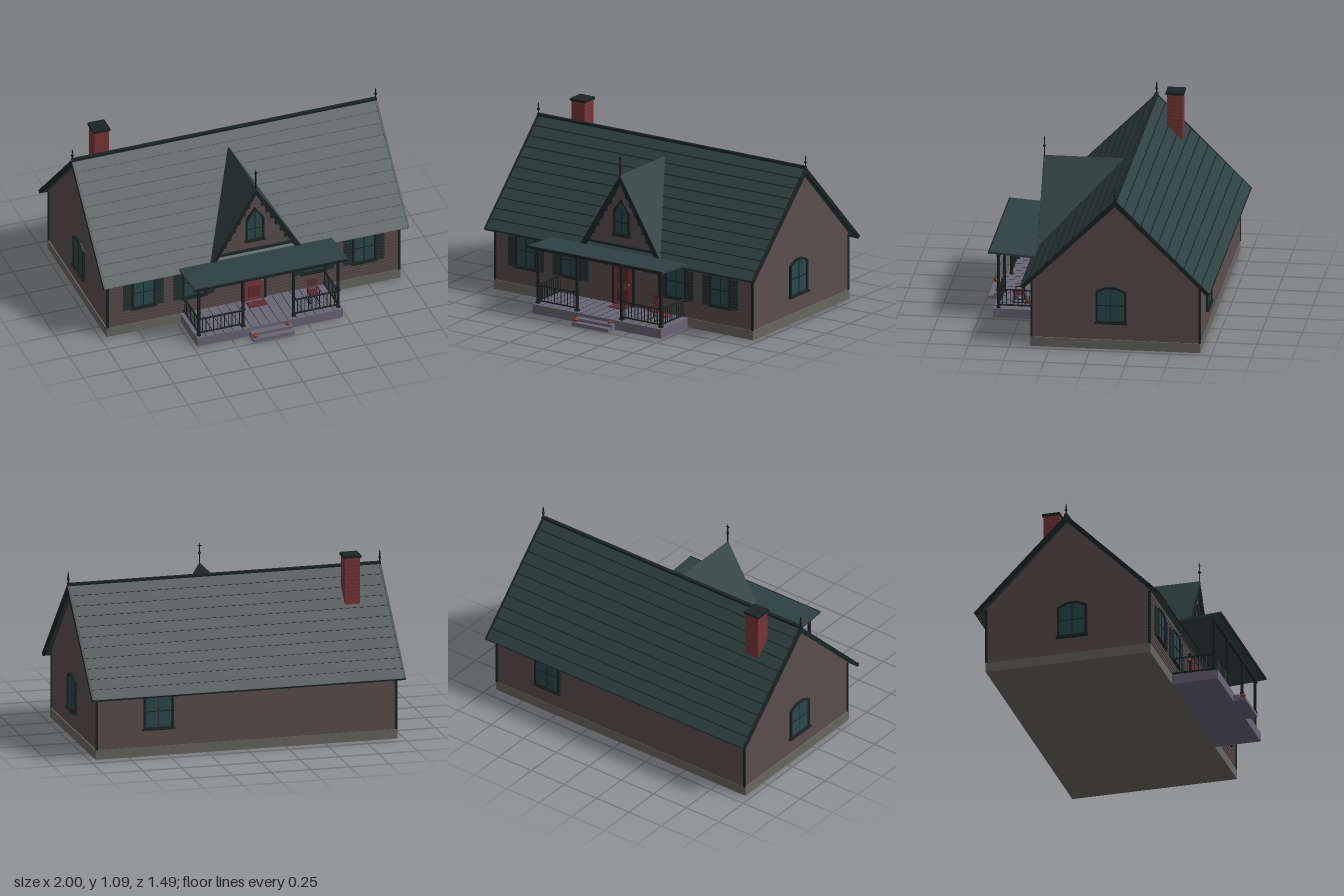
import * as THREE from 'three';

const mat = (color) => new THREE.MeshStandardMaterial({ color });
const M = {
  wall: mat(0x5a4e4e), siding: mat(0x453c3c), roof: mat(0x2f4040), dark: mat(0x1b2424), stone: mat(0x67665f),
  porch: mat(0x696473), brick: mat(0x7a3638), mortar: mat(0x562a2c), glass: mat(0x2c484a), shutter: mat(0x283636),
  door: mat(0x7a3640), iron: mat(0x161616), pumpkin: mat(0x7a3a26), brass: mat(0xa8793c), red: mat(0x5c2a30),
};

export function createModel() {
  const house = new THREE.Group();
  house.name = 'house';

  const add = (name, geo, material, x = 0, y = 0, z = 0, parent = house) => {
    const m = new THREE.Mesh(geo, material);
    m.name = name;
    m.position.set(x, y, z);
    parent.add(m);
    return m;
  };
  const box = (name, w, h, d, material, x, y, z, parent) =>
    add(name, new THREE.BoxGeometry(w, h, d), material, x, y, z, parent);
  const rod = (name, r, h, material, x, y, z, parent) =>
    add(name, new THREE.CylinderGeometry(r, r, h, 8), material, x, y, z, parent);
  const group = (name, x, y, z, ry = 0) => {
    const g = new THREE.Group();
    g.name = name;
    g.position.set(x, y, z);
    g.rotation.y = ry;
    house.add(g);
    return g;
  };
  const shape = (pts) => new THREE.Shape(pts.map(([a, b]) => new THREE.Vector2(a, b)));
  const extrude = (s, depth) => new THREE.ExtrudeGeometry(s, { depth, bevelEnabled: false });
  // Profile drawn in (z, y), extruded along x and centred on it
  const extrudeX = (pts, width) => extrude(shape(pts), width).translate(0, 0, -width / 2).rotateY(-Math.PI / 2);

  // Foundation and walls
  const ridgeZ = -0.155;
  box('foundation', 1.92, 0.06, 1.05, M.stone, 0, 0.03, -0.152);
  add('walls', extrudeX([[-0.675, 0.06], [0.368, 0.06], [0.368, 0.425], [ridgeZ, 0.95], [-0.675, 0.425]], 1.906), M.wall);
  for (let i = 0; i < 16; i++) box('sidingLine', 1.9, 0.003, 0.004, M.siding, 0, 0.08 + i * 0.021, 0.369);
  for (const x of [-0.952, 0.952])
    for (const z of [-0.673, 0.366]) box('cornerBoard', 0.014, 0.36, 0.014, M.dark, x, 0.24, z);

  // Main roof with shingle courses, rake boards and ridge
  const roofProfile = (top, under) => [[0.43, 0.395], [ridgeZ, top], [-0.74, 0.395], [-0.725, 0.38], [ridgeZ, under], [0.415, 0.38]];
  add('mainRoof', extrudeX(roofProfile(0.975, 0.948), 1.985), M.roof);
  for (const x of [-0.99, 0.99]) add('rakeBoard', extrudeX(roofProfile(0.981, 0.94), 0.014), M.dark, x);
  for (const s of [-1, 1])
    for (let i = 1; i <= 11; i++) {
      const t = i / 11;
      const line = box('shingleCourse', 1.984, 0.006, 0.006, M.dark, 0, 0.975 - 0.58 * t, ridgeZ + s * 0.585 * t);
      line.rotation.x = Math.PI / 4;
    }
  box('ridgeCap', 1.99, 0.016, 0.022, M.dark, 0, 0.98, ridgeZ);

  // Finials
  const finial = (x, y, z, h) => {
    const g = group('finial', x, y, z);
    rod('finialStem', 0.004, h, M.iron, 0, h / 2, 0, g);
    add('finialBall', new THREE.SphereGeometry(0.009, 10, 8), M.iron, 0, h * 0.55, 0, g);
    add('finialTip', new THREE.ConeGeometry(0.005, 0.025, 8), M.iron, 0, h, 0, g);
    return g;
  };
  for (const x of [-0.99, 0.99]) finial(x, 0.97, ridgeZ, 0.08);
  const frontFinial = finial(0, 0.895, 0.41, 0.125);
  box('finialCross', 0.022, 0.005, 0.005, M.iron, 0, 0.115, 0, frontFinial);

  // Chimney
  box('chimney', 0.095, 0.36, 0.097, M.brick, -0.763, 0.9, -0.302);
  for (let i = 0; i < 14; i++) box('mortarLine', 0.097, 0.002, 0.099, M.mortar, -0.763, 0.75 + i * 0.023, -0.302);
  box('chimneyCap', 0.11, 0.016, 0.112, M.dark, -0.763, 1.082, -0.302);

  // Front gable running back into the main roof
  const chevron = [[-0.3, 0.41], [-0.27, 0.41], [0, 0.862], [0.27, 0.41], [0.3, 0.41], [0, 0.903]];
  add('gableRoof', extrude(shape(chevron), 0.485), M.roof, 0, 0, -0.072);
  add('gableRakeBoard', extrude(shape([[-0.298, 0.405], [-0.262, 0.405], [0, 0.85], [0.262, 0.405], [0.298, 0.405], [0, 0.9]]), 0.016), M.dark, 0, 0, 0.399);
  add('gableWall', extrude(shape([[-0.28, 0.41], [0.28, 0.41], [0, 0.875]]), 0.3), M.wall, 0, 0, 0.088);
  box('gableSill', 0.52, 0.012, 0.02, M.dark, 0, 0.445, 0.395);
  for (const s of [-1, 1])
    for (let i = 1; i <= 6; i++) {
      const y = 0.82 - i * 0.052;
      box('gableBracket', 0.013, 0.02, 0.014, M.dark, s * ((0.85 - y) * 0.589 - 0.005), y, 0.404);
    }

  // Windows: framed opening with a peaked head, mullions and sill
  const outline = (w, h, peak, inset) => [
    [-w / 2 + inset, inset], [w / 2 - inset, inset], [w / 2 - inset, h - inset * 0.6],
    [w * 0.18 * (peak < 0.05), h + peak - inset], [-w * 0.18 * (peak < 0.05), h + peak - inset], [-w / 2 + inset, h - inset * 0.6],
  ].filter((p, i, a) => i === 0 || Math.abs(p[0] - a[i - 1][0]) + Math.abs(p[1] - a[i - 1][1]) > 1e-6);
  const windowAt = (x, y, z, ry, w, h, peak) => {
    const g = group('window', x, y, z, ry);
    const frame = shape(outline(w, h, peak, 0));
    frame.holes.push(shape(outline(w, h, peak, 0.013)));
    add('windowFrame', extrude(frame, 0.014), M.dark, 0, 0, 0, g);
    add('windowGlass', extrude(shape(outline(w, h, peak, 0.012)), 0.006), M.glass, 0, 0, 0, g);
    box('mullion', 0.005, h + peak - 0.02, 0.004, M.dark, 0, (h + peak) / 2, 0.007, g);
    box('crossBar', w - 0.02, 0.005, 0.004, M.dark, 0, h * 0.55, 0.007, g);
    box('windowSill', w + 0.016, 0.01, 0.022, M.dark, 0, 0, 0.009, g);
  };
  for (const x of [-0.72, -0.39, 0.39, 0.72]) {
    windowAt(x, 0.17, 0.368, 0, 0.155, 0.2, 0.015);
    for (const s of [-1, 1]) {
      box('shutter', 0.054, 0.195, 0.012, M.shutter, x + s * 0.106, 0.267, 0.373);
      for (let i = 0; i < 9; i++) box('shutterSlat', 0.04, 0.005, 0.005, M.dark, x + s * 0.106, 0.188 + i * 0.02, 0.379);
    }
  }
  for (const s of [-1, 1]) windowAt(s * 0.953, 0.17, -0.125, s * Math.PI / 2, 0.19, 0.205, 0.028);
  windowAt(0.56, 0.17, -0.675, Math.PI, 0.19, 0.205, 0.028);
  windowAt(0, 0.51, 0.388, 0, 0.12, 0.155, 0.085);

  // Front door
  box('doorFrame', 0.165, 0.325, 0.016, M.dark, 0, 0.222, 0.372);
  box('door', 0.125, 0.295, 0.012, M.door, 0, 0.208, 0.378);
  for (const [y, h] of [[0.125, 0.08], [0.275, 0.13]]) box('doorPanel', 0.08, h, 0.006, M.red, 0, y, 0.383);
  add('doorKnob', new THREE.SphereGeometry(0.006, 10, 8), M.brass, 0.05, 0.2, 0.388);
  box('doorMat', 0.12, 0.004, 0.06, M.red, 0, 0.062, 0.43);
  box('wallPlaque', 0.03, 0.016, 0.005, M.brass, 0.115, 0.302, 0.372);

  // Wall lantern
  const lantern = group('lantern', -0.12, 0.31, 0.386);
  box('lanternLamp', 0.016, 0.03, 0.016, M.brass, 0, 0.016, 0, lantern);
  box('lanternBase', 0.02, 0.004, 0.02, M.iron, 0, 0, 0, lantern);
  add('lanternCap', new THREE.ConeGeometry(0.016, 0.016, 4), M.iron, 0, 0.04, 0, lantern);
  box('lanternArm', 0.005, 0.005, 0.02, M.iron, 0, 0.046, -0.01, lantern);

  // Porch deck, planks and steps
  box('porchDeck', 0.95, 0.06, 0.3, M.porch, 0, 0.03, 0.515);
  for (let i = 1; i < 16; i++) box('deckGap', 0.003, 0.001, 0.298, M.dark, -0.475 + i * 0.0594, 0.06, 0.515);
  box('upperStep', 0.27, 0.04, 0.05, M.porch, 0, 0.02, 0.68);
  box('lowerStep', 0.27, 0.022, 0.08, M.porch, 0, 0.011, 0.702);

  // Porch roof, rising slightly to the front, on four posts
  add('porchRoof', extrudeX([[0.4, 0.404], [0.69, 0.424], [0.69, 0.438], [0.4, 0.418]], 1.0), M.roof);
  box('porchFascia', 1.0, 0.016, 0.008, M.dark, 0, 0.43, 0.689);
  box('porchBeam', 0.93, 0.014, 0.018, M.dark, 0, 0.408, 0.635);
  for (const x of [-0.455, -0.165, 0.165, 0.455]) {
    box('porchPost', 0.015, 0.35, 0.015, M.dark, x, 0.235, 0.635);
    for (const y of [0.067, 0.19, 0.395]) box('postCollar', 0.023, 0.012, 0.023, M.dark, x, y, 0.635);
  }

  // Railings
  const railing = (x, z, length, ry) => {
    const g = group('railing', x, 0, z, ry);
    for (const y of [0.08, 0.178]) box('rail', length, 0.007, 0.01, M.dark, 0, y, 0, g);
    const n = Math.round(length / 0.024);
    for (let i = 1; i < n; i++) rod('baluster', 0.0028, 0.1, M.dark, -length / 2 + (i * length) / n, 0.129, 0, g);
  };
  for (const s of [-1, 1]) {
    railing(s * 0.31, 0.635, 0.29, 0);
    railing(s * 0.455, 0.502, 0.265, Math.PI / 2);
  }

  // Rocking chair
  const chair = group('rockingChair', 0.335, 0.06, 0.52);
  box('chairSeat', 0.065, 0.006, 0.06, M.red, 0, 0.06, 0, chair);
  const back = group('chairBack', 0.335, 0.163, 0.496);
  back.rotation.x = -0.15;
  for (let i = 0; i < 5; i++) box('backSlat', 0.007, 0.085, 0.004, M.red, -0.026 + i * 0.013, 0, 0, back);
  box('backTop', 0.066, 0.012, 0.006, M.red, 0, 0.038, 0, back);
  for (const s of [-1, 1]) {
    for (const z of [-0.025, 0.027]) rod('chairLeg', 0.003, 0.085, M.iron, s * 0.03, 0.047, z, chair);
    box('chairArm', 0.008, 0.005, 0.062, M.red, s * 0.03, 0.09, 0, chair);
    const curve = new THREE.QuadraticBezierCurve3(
      new THREE.Vector3(s * 0.03, 0.014, -0.05), new THREE.Vector3(s * 0.03, -0.004, 0), new THREE.Vector3(s * 0.03, 0.014, 0.05));
    add('rocker', new THREE.TubeGeometry(curve, 10, 0.003, 6), M.iron, 0, 0, 0, chair);
  }

  // Pumpkins, ribbed by pulling the sphere in along its seams
  const pumpkin = (x, y, z, r) => {
    const geo = new THREE.SphereGeometry(r, 32, 12);
    const p = geo.attributes.position;
    for (let i = 0; i < p.count; i++) {
      const k = 1 + 0.07 * Math.cos(8 * Math.atan2(p.getZ(i), p.getX(i)));
      p.setXYZ(i, p.getX(i) * k, p.getY(i) * 0.8, p.getZ(i) * k);
    }
    geo.computeVertexNormals();
    add('pumpkin', geo, M.pumpkin, x, y + r * 0.78, z);
    rod('pumpkinStem', r * 0.13, r * 0.5, M.dark, x, y + r * 1.7, z);
  };
  pumpkin(-0.118, 0.022, 0.722, 0.017);
  pumpkin(0.108, 0.04, 0.685, 0.013);
  pumpkin(0.355, 0.06, 0.458, 0.02);

  return house;
}
